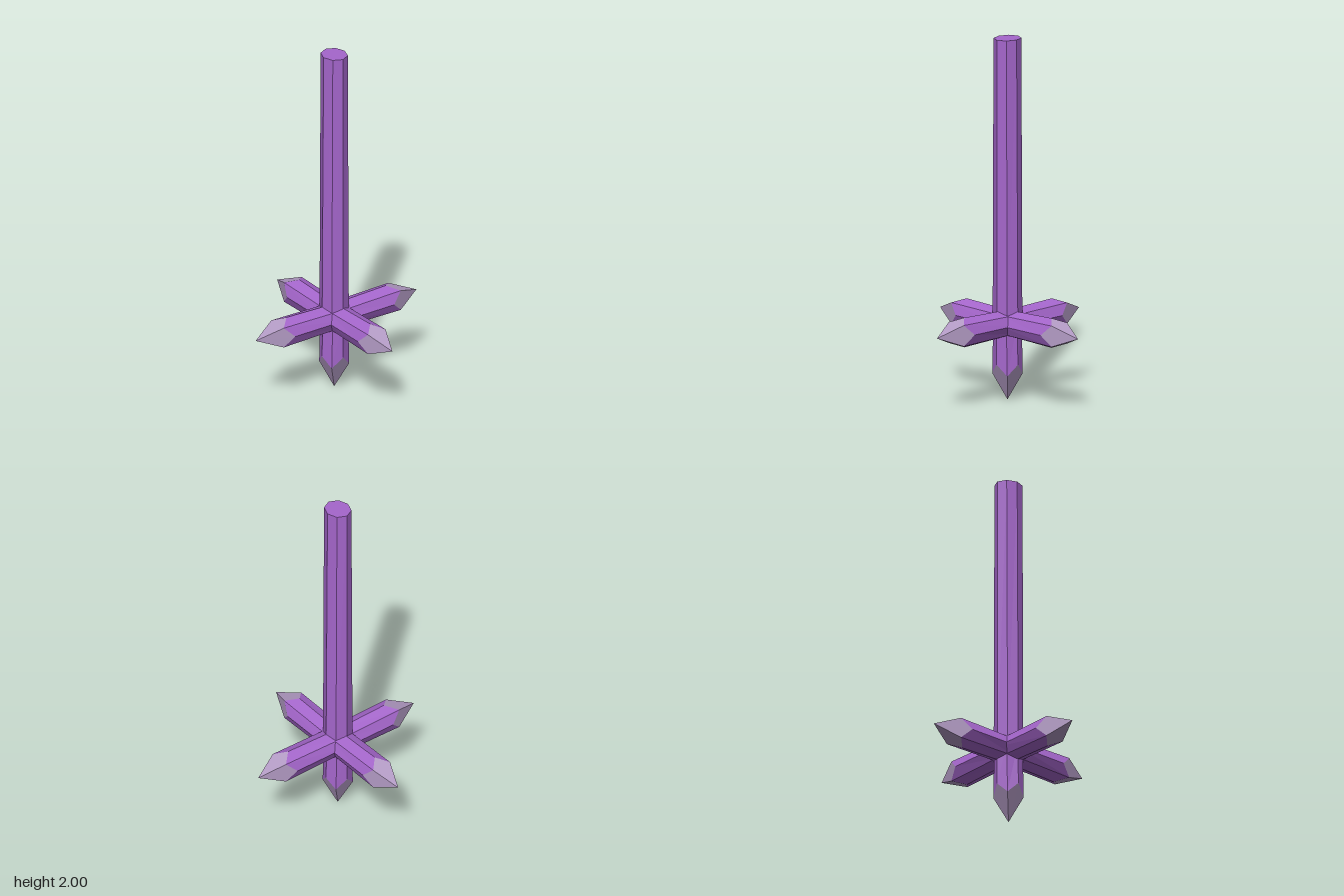
import * as THREE from 'three';

const R = 0.082;          // octagon radius
const TIP = 0.205;        // length of a pointed end
const BITE = 0.06;        // how far the diagonal edges run on into the tip
const purple = new THREE.MeshStandardMaterial({ color: 0xa566cc, flatShading: true });
const pale = new THREE.MeshStandardMaterial({ color: 0xb49cc6, flatShading: true });

// Move the vertices of a geometry by a rule
function reshape(geo, rule) {
  const p = geo.attributes.position;
  const v = new THREE.Vector3();
  for (let i = 0; i < p.count; i++) {
    v.fromBufferAttribute(p, i);
    rule(v);
    p.setXYZ(i, v.x, v.y, v.z);
  }
  geo.computeVertexNormals();
  return geo;
}

const isDiagonal = (v) => Math.abs(v.x) > 0.01 && Math.abs(v.z) > 0.01;

// Eight-sided crystal along +y, slimmer at the root, cut to a four-faced point
function makeSpike(name, length) {
  const body = length - TIP;
  const group = new THREE.Group();
  group.name = name;

  const bodyGeo = new THREE.CylinderGeometry(R, R, body, 8, 1, true).translate(0, body / 2, 0);
  const shank = new THREE.Mesh(reshape(bodyGeo, (v) => {
    if (v.y > body / 2) v.y += isDiagonal(v) ? BITE : 0;
    else v.x *= 0.88;
  }), purple);
  shank.name = name + 'Body';

  const tipGeo = new THREE.ConeGeometry(R, TIP, 8, 1, true).translate(0, body + TIP / 2, 0);
  const point = new THREE.Mesh(reshape(tipGeo, (v) => {
    if (v.y < body + TIP / 2 && isDiagonal(v)) v.y += BITE;
  }), pale);
  point.name = name + 'Tip';

  group.add(shank, point);
  return group;
}

export function createModel() {
  const model = new THREE.Group();
  model.name = 'crystalCross';
  const hubY = 0.424, offX = -0.01;
  const X = new THREE.Vector3(1, 0, 0);
  const Y = new THREE.Vector3(0, 1, 0);

  // Long shaft, narrowing a little in width towards its flat top
  const h = 2 - hubY;
  const shaftGeo = new THREE.CylinderGeometry(0.08, 0.08, h, 8);
  const shaft = new THREE.Mesh(reshape(shaftGeo, (v) => { if (v.y > 0) v.x *= 0.88; }), purple);
  shaft.name = 'shaft';
  shaft.position.set(offX - 0.002, hubY + h / 2, 0);
  model.add(shaft);

  // Four level spikes and a shorter one pointing down
  const spikes = [
    ['leftSpike', [1, 0, 0], Y, 0.533, 0],
    ['rightSpike', [-1, 0, 0], Y, 0.533, 0],
    ['frontSpike', [0, 0, 1], Y, 0.533, offX + 0.002],
    ['backSpike', [0, 0, -1], Y, 0.533, offX + 0.002],
    ['lowerSpike', [0, -1, 0], X, hubY, offX - 0.002],
  ];
  for (const [name, dir, taper, length, x] of spikes) {
    const spike = makeSpike(name, length);
    const d = new THREE.Vector3(...dir);
    const basis = new THREE.Matrix4().makeBasis(taper, d, taper.clone().cross(d));
    spike.quaternion.setFromRotationMatrix(basis);
    spike.position.set(x, hubY, 0);
    model.add(spike);
  }
  return model;
}
